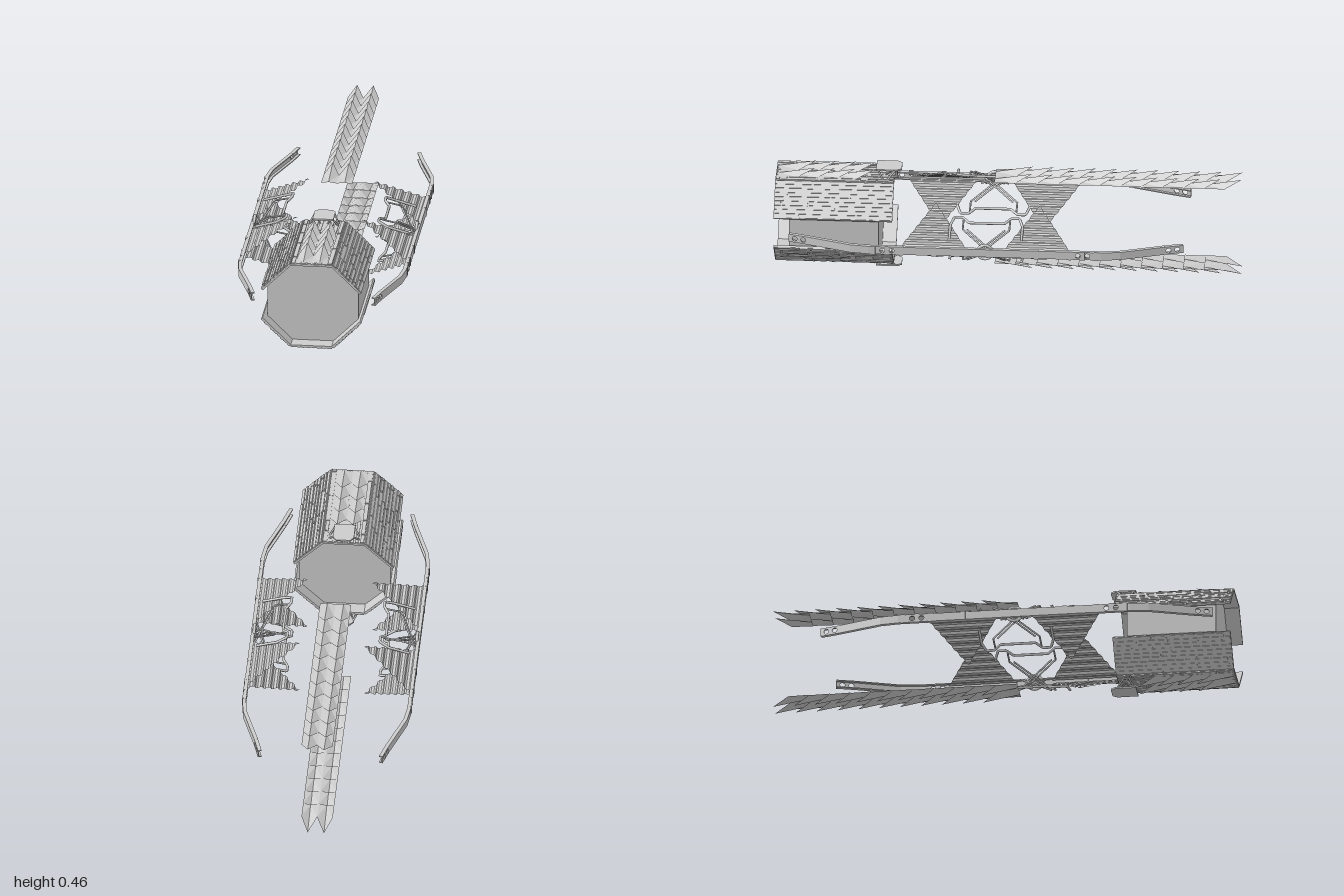
import * as THREE from 'three';

const mat = new THREE.MeshStandardMaterial({ color: 0xcccccc, flatShading: true });
const thinMat = new THREE.MeshStandardMaterial({ color: 0xcccccc, flatShading: true, side: THREE.DoubleSide });
const smoothMat = new THREE.MeshStandardMaterial({ color: 0xcccccc });

const CY = 0.231; // height of the mirror plane
const MID = 0.083; // lengthwise centre of the side booms

let seed = 7;
const rand = () => (seed = (seed * 16807) % 2147483647) / 2147483647;

function add(parent, name, geo, material = mat) {
  const m = new THREE.Mesh(geo, material);
  m.name = name;
  parent.add(m);
  return m;
}

function group(parent, name) {
  const g = new THREE.Group();
  g.name = name;
  parent.add(g);
  return g;
}

// Four-cornered facets [a, b, c, d] to one geometry
function quads(list) {
  const pos = [];
  for (const [a, b, c, d] of list) pos.push(...a, ...b, ...c, ...a, ...c, ...d);
  const g = new THREE.BufferGeometry();
  g.setAttribute('position', new THREE.Float32BufferAttribute(pos, 3));
  g.computeVertexNormals();
  return g;
}

// Straight round bar between two points
function bar(parent, name, a, b, r) {
  const p = new THREE.Vector3(...a), q = new THREE.Vector3(...b);
  const m = add(parent, name, new THREE.CylinderGeometry(r, r, p.distanceTo(q), 8), smoothMat);
  m.position.copy(p).add(q).multiplyScalar(0.5);
  m.quaternion.setFromUnitVectors(new THREE.Vector3(0, 1, 0), q.sub(p).normalize());
}

// Double row of overlapping scales, each rising to a point at the rear
function scales(parent, name, zStart, count, pitch, reach) {
  const list = [];
  for (let i = 0; i < count; i++) {
    const z = zStart - i * pitch;
    for (const s of [-1, 1]) {
      const ridge = [0.035 * s, 0.198, z], tip = [0.035 * s, 0.226, z - reach];
      for (const x of [0, 0.067 * s])
        list.push([ridge, tip, [x, 0.195, z - pitch], [x, 0.193, z]]);
    }
  }
  add(parent, name, quads(list), thinMat);
}

// Armour plate running lengthwise, covered with broken raised strips
function armourPlate(parent, a, b, rows) {
  const g = group(parent, 'armourPlate');
  const w = Math.hypot(b[0] - a[0], b[1] - a[1]);
  g.position.set((a[0] + b[0]) / 2, (a[1] + b[1]) / 2, 0.745);
  g.rotation.z = Math.atan2(b[1] - a[1], b[0] - a[0]);
  add(g, 'plateBase', new THREE.BoxGeometry(w, 0.009, 0.51));
  for (let r = 0; r < rows; r++) {
    const x = (-0.5 + (r + 0.5) / rows) * w;
    let z = -0.255;
    while (z < 0.25) {
      const len = Math.min(0.06 + rand() * 0.18, 0.255 - z);
      const h = 0.002 + rand() * 0.003;
      add(g, 'plateStrip', new THREE.BoxGeometry(w / rows * (0.6 + rand() * 0.25), h, len - 0.006))
        .position.set(x, 0.0045 + h / 2, z + len / 2);
      z += len;
    }
  }
}

// Low bracket standing on the hull
function bracket(parent) {
  const g = group(parent, 'bracket');
  const s = new THREE.Shape([[-0.045, 0.57], [0.045, 0.57], [0.045, 0.48], [0.03, 0.46], [-0.03, 0.46], [-0.045, 0.48]]
    .map(([x, z]) => new THREE.Vector2(x, -z)));
  const top = add(g, 'bracketTop', new THREE.ExtrudeGeometry(s, { depth: 0.007, bevelEnabled: false }));
  top.rotation.x = -Math.PI / 2;
  top.position.y = 0.224;
  for (const x of [-1, 1]) {
    bar(g, 'bracketLeg', [0.042 * x, 0.226, 0.49], [0.063 * x, 0.192, 0.52], 0.004);
    bar(g, 'bracketLeg', [0.042 * x, 0.226, 0.56], [0.063 * x, 0.192, 0.54], 0.004);
    bar(g, 'bracketLeg', [0.04 * x, 0.226, 0.5], [0.015 * x, 0.192, 0.53], 0.003);
  }
}

// Corrugated triangular vane: based on the boom, pointing inward and outward in y
function vane(parent, zc, sy) {
  const n = 26, list = [];
  const row = (i) => {
    const u = i / n, half = 0.148 * (1 - u);
    const o = i % 4 < 2 ? 0.004 : -0.004;
    const x = 0.348 - 0.208 * u + o * 0.52, y = sy * (0.006 + 0.122 * u + o * 0.85);
    return [[x, y, zc - half], [x, y, zc + half]];
  };
  for (let i = 0; i < n; i++) {
    const [a, b] = row(i), [c, d] = row(i + 1);
    list.push([a, b, d, c]);
  }
  add(parent, 'vane', quads(list), thinMat);
}

// One channel segment of the boom, with round holes through its web
function boomSegment(parent, a, b, holes) {
  const dx = b[0] - a[0], dz = b[1] - a[1], len = Math.hypot(dx, dz), h = 0.018;
  const g = group(parent, 'boomSegment');
  g.position.set(a[0], 0.004, a[1]);
  g.rotation.y = Math.atan2(-dz, dx);
  const s = new THREE.Shape([[0, -h], [len, -h], [len, h], [0, h]].map(p => new THREE.Vector2(...p)));
  for (const z of holes.filter(z => z > a[1] && z < b[1])) {
    const hole = new THREE.Path();
    hole.absarc((z - a[1]) * len / dz, 0, 0.011, 0, Math.PI * 2, true);
    s.holes.push(hole);
  }
  add(g, 'boomWeb', new THREE.ExtrudeGeometry(s, { depth: 0.005, bevelEnabled: false, curveSegments: 8 }));
  for (const y of [-1, 1])
    add(g, 'boomFlange', new THREE.BoxGeometry(len, 0.005, 0.016)).position.set(len / 2, y * (h - 0.0025), 0.008);
}

// Side boom with vanes and the central truss
function sideAssembly(parent) {
  const g = group(parent, 'sideAssembly');
  const half = [[0.363, 0.5], [0.353, 0.58], [0.29, 0.77], [0.268, 0.848]];
  const path = [...half.map(([x, t]) => [x, MID - t]).reverse(), ...half.map(([x, t]) => [x, MID + t])];
  const holes = [];
  for (const t of [0.4, 0.44, 0.785, 0.822]) holes.push(MID - t, MID + t);
  for (let i = 0; i + 1 < path.length; i++) boomSegment(g, path[i], path[i + 1], holes);
  // Small clamps along the outside of the boom
  for (const t of [0.22, 0.36, 0.42, 0.48])
    for (const s of [-1, 1])
      add(g, 'boomClamp', new THREE.BoxGeometry(0.008, 0.04, 0.02)).position.set(0.361, 0.004, MID + s * t);

  for (const sy of [-1, 1]) {
    for (const zc of [MID - 0.223, MID + 0.223]) vane(g, zc, sy);
    // Bent frame tube
    const side = [[0.33, 0.05, 0.155], [0.24, 0.075, 0.155], [0.2, 0.092, 0.14], [0.2, 0.092, 0.105], [0.222, 0.077, 0.075]];
    const pts = [...side.map(([x, y, t]) => [x, y * sy, MID - t]),
      ...side.slice().reverse().map(([x, y, t]) => [x, y * sy, MID + t])];
    const curve = new THREE.CurvePath();
    for (let i = 0; i + 1 < pts.length; i++)
      curve.add(new THREE.LineCurve3(new THREE.Vector3(...pts[i]), new THREE.Vector3(...pts[i + 1])));
    add(g, 'frameTube', new THREE.TubeGeometry(curve, 90, 0.006, 6), smoothMat);
    // Crossed struts
    for (const s of [-1, 1]) {
      for (const o of [0, 0.018])
        bar(g, 'crossStrut', [0.35, -0.02 * sy, MID - s * (0.04 + o)], [0.275, 0.072 * sy, MID + s * (0.1 - o)], 0.004);
      bar(g, 'frameStrut', [0.275, 0.072 * sy, MID + s * 0.1], [0.21, 0.085 * sy, MID + s * 0.1], 0.004);
    }
  }
  const ring = add(g, 'hubRing', new THREE.TorusGeometry(0.032, 0.007, 8, 24), smoothMat);
  ring.rotation.y = Math.PI / 2;
  ring.position.set(0.35, 0.004, MID);
  return g;
}

export function createModel() {
  const model = new THREE.Group();
  model.name = 'spacecraft';
  const body = group(model, 'body');
  body.position.y = CY;

  // Octagonal core
  const oct = [[0.09, 0.182], [0.196, 0.078], [0.196, -0.078], [0.09, -0.182]];
  const outline = [...oct, ...oct.map(([x, y]) => [-x, -y])].map(p => new THREE.Vector2(...p));
  add(body, 'hullCore', new THREE.ExtrudeGeometry(new THREE.Shape(outline), { depth: 0.385, bevelEnabled: false }))
    .position.z = 0.55;

  // Upper armour, spine and rear scale strip, mirrored below
  const upper = group(body, 'upperAssembly');
  armourPlate(upper, [-0.09, 0.187], [0.09, 0.187], 8);
  armourPlate(upper, [0.09, 0.187], [0.213, 0.066], 9);
  armourPlate(upper, [-0.213, 0.066], [-0.09, 0.187], 9);
  scales(upper, 'hullScales', 0.99, 4, 0.085, 0.16);
  scales(upper, 'rearScales', 0.06, 11, 0.09, 0.16);
  bracket(upper);
  const lower = upper.clone();
  lower.name = 'lowerAssembly';
  lower.scale.y = -1;
  body.add(lower);

  // Left boom and its mirror
  const left = sideAssembly(body);
  const right = left.clone();
  right.scale.x = -1;
  body.add(right);
  return model;
}
